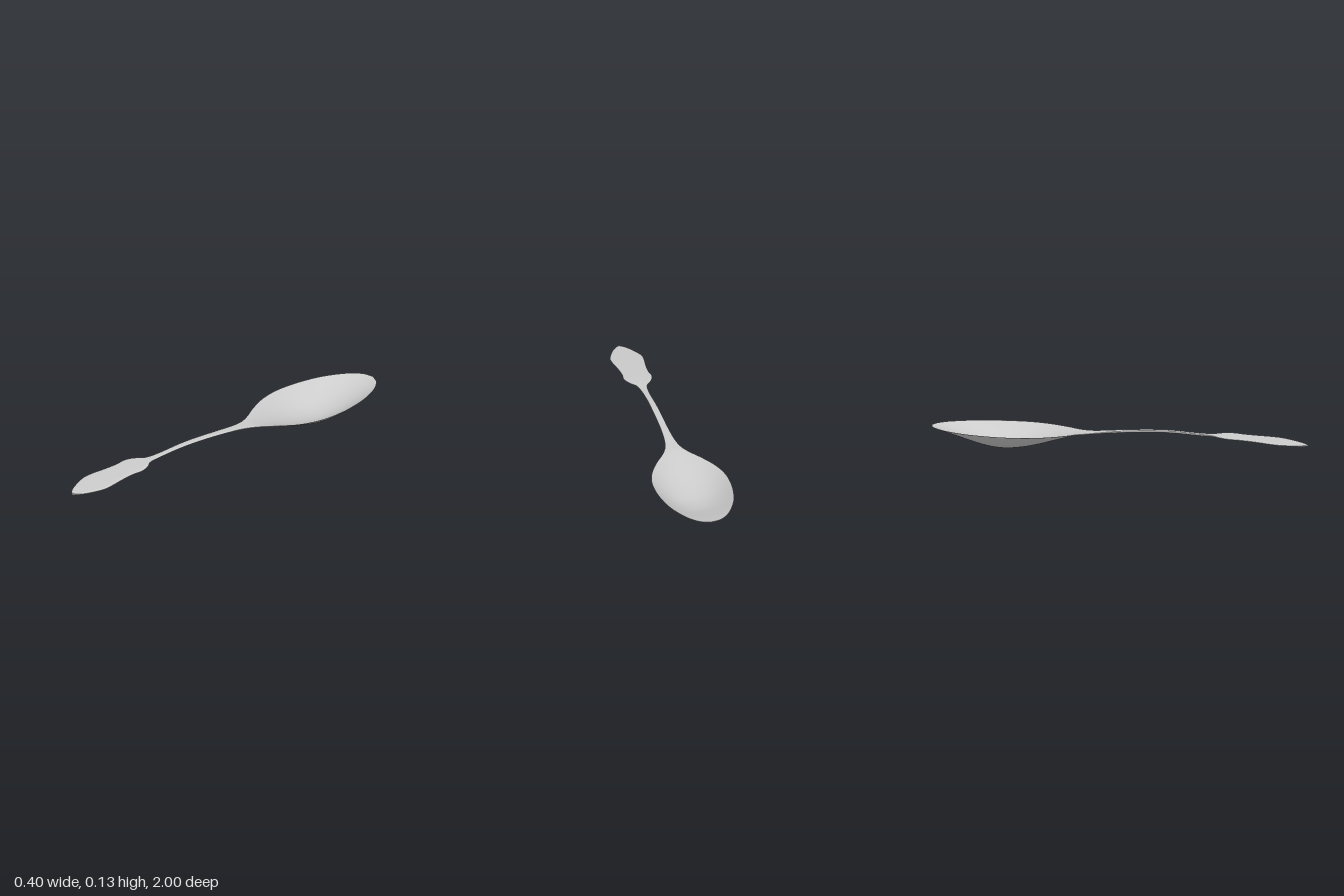
import * as THREE from 'three';

// Smooth interpolation through [z, value] stations
function profile(pts) {
  const n = pts.length;
  const slope = (i) => {
    const a = pts[Math.max(i - 1, 0)], b = pts[Math.min(i + 1, n - 1)];
    return (b[1] - a[1]) / (b[0] - a[0]);
  };
  return (z) => {
    let i = 0;
    while (i < n - 2 && z > pts[i + 1][0]) i++;
    const h = pts[i + 1][0] - pts[i][0];
    const t = THREE.MathUtils.clamp((z - pts[i][0]) / h, 0, 1);
    const t2 = t * t, t3 = t2 * t;
    return (2 * t3 - 3 * t2 + 1) * pts[i][1] + (t3 - 2 * t2 + t) * h * slope(i)
      + (3 * t2 - 2 * t3) * pts[i + 1][1] + (t3 - t2) * h * slope(i + 1);
  };
}

// Half outline seen from above: [z, half width], bowl tip to handle tip
const outline = new THREE.CatmullRomCurve3([
  [-1, 0], [-0.985, 0.05], [-0.95, 0.09], [-0.9, 0.124], [-0.8, 0.168], [-0.7, 0.191],
  [-0.6, 0.201], [-0.5, 0.197], [-0.4, 0.171], [-0.3, 0.121], [-0.22, 0.07],
  [-0.16, 0.042], [-0.1, 0.029], [0, 0.021], [0.2, 0.018], [0.44, 0.018],
  [0.5, 0.029], [0.535, 0.055], [0.57, 0.071], [0.6, 0.076], [0.64, 0.071],
  [0.72, 0.075], [0.8, 0.085], [0.85, 0.085], [0.9, 0.069], [0.95, 0.046],
  [0.985, 0.021], [1, 0],
].map(([z, w]) => new THREE.Vector3(z, w, 0)));

// Height of the upper edge, depth of the hollow and metal thickness along z
const height = profile([[-1, 0.1], [-0.6, 0.098], [-0.2, 0.101], [0, 0.118], [0.15, 0.128],
  [0.27, 0.13], [0.45, 0.121], [0.55, 0.121], [0.65, 0.116], [0.8, 0.107], [1, 0.089]]);
const depth = profile([[-1, 0], [-0.9, 0.026], [-0.8, 0.056], [-0.7, 0.083], [-0.6, 0.093],
  [-0.5, 0.081], [-0.4, 0.056], [-0.3, 0.027], [-0.2, 0.003], [-0.15, 0], [0, 0], [1, 0]]);
const thickness = profile([[-1, 0.004], [-0.6, 0.005], [-0.3, 0.006], [0, 0.011], [0.5, 0.01], [1, 0.009]]);

export function createModel() {
  const rows = 220, half = 28, ring = half * 2;
  const positions = [], bowlIndex = [], handleIndex = [];

  // Closed cross-sections: across the top, then back along the underside
  for (let i = 0; i <= rows; i++) {
    const p = outline.getPoint(i / rows);
    const z = p.x, w = Math.max(p.y, 0), t = thickness(z);
    for (let j = 0; j < ring; j++) {
      const u = -Math.cos((j / half) * Math.PI);
      const side = j <= half ? 1 : -1;
      const round = Math.sqrt(Math.max(0, 1 - Math.pow(Math.abs(u), 8)));
      const hollow = depth(z) * (1 - Math.pow(Math.abs(u), 2.1));
      positions.push(u * w, height(z) - hollow - t / 2 + side * round * t / 2, z);
    }
  }

  // Skin between neighbouring sections, split where the bowl meets the stem
  for (let i = 0; i < rows; i++) {
    const target = positions[i * ring * 3 + 2] < -0.18 ? bowlIndex : handleIndex;
    for (let j = 0; j < ring; j++) {
      const k = (j + 1) % ring;
      const a = i * ring + j, b = a + ring, c = i * ring + k, d = c + ring;
      target.push(a, b, c, c, b, d);
    }
  }

  // Shared normals keep the join seamless
  const whole = new THREE.BufferGeometry();
  whole.setAttribute('position', new THREE.Float32BufferAttribute(positions, 3));
  whole.setIndex([...bowlIndex, ...handleIndex]);
  whole.computeVertexNormals();

  const group = new THREE.Group();
  group.name = 'spoon';
  const material = new THREE.MeshStandardMaterial({ color: 0xcccccc });
  for (const [name, index] of [['bowl', bowlIndex], ['handle', handleIndex]]) {
    const geometry = whole.clone();
    geometry.setIndex(index);
    const mesh = new THREE.Mesh(geometry, material);
    mesh.name = name;
    group.add(mesh);
  }
  return group;
}
